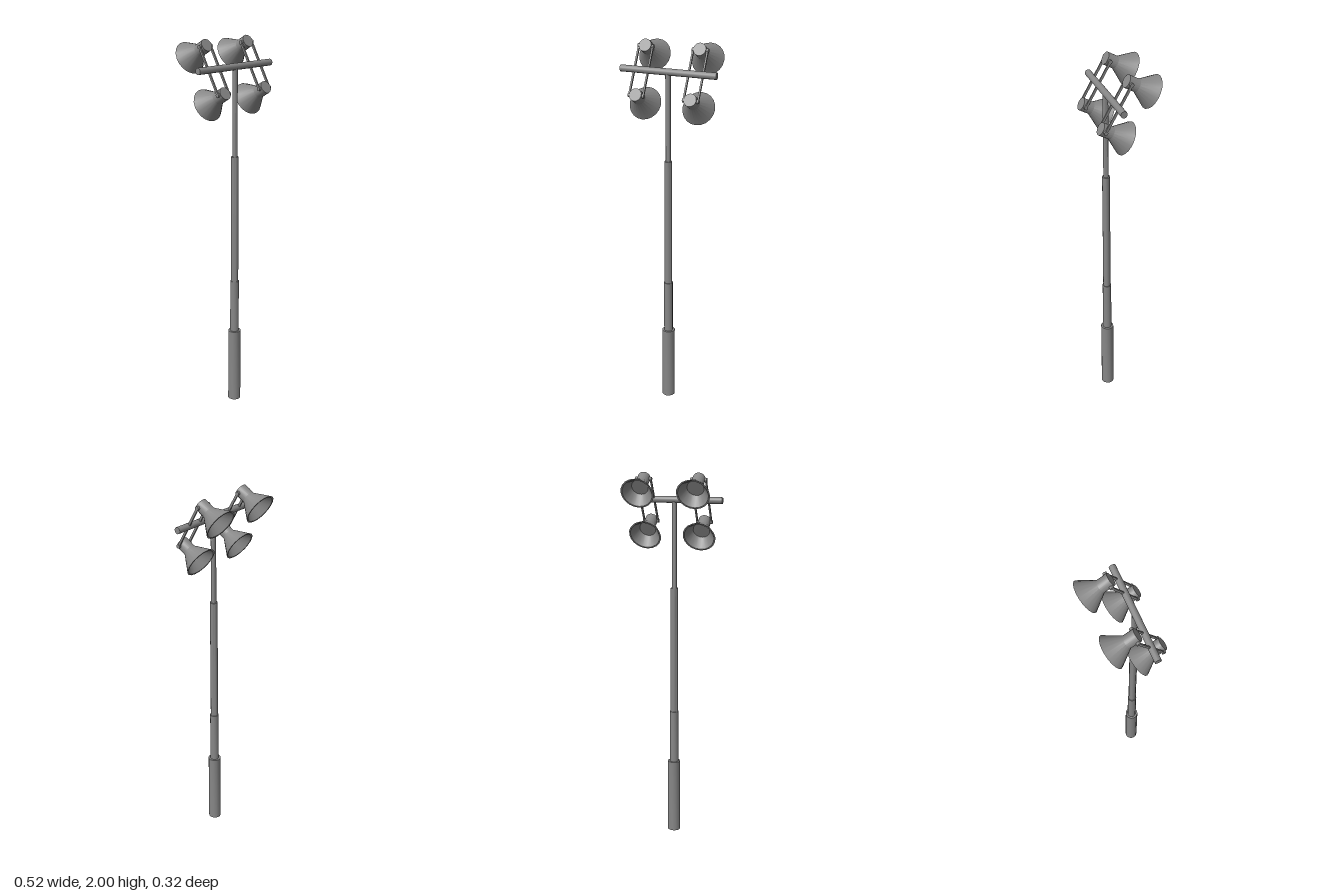
import * as THREE from 'three';
import { toCreasedNormals } from 'three/addons/utils/BufferGeometryUtils.js';

const material = new THREE.MeshStandardMaterial({ color: 0x878787 });
const openMaterial = new THREE.MeshStandardMaterial({ color: 0x878787, side: THREE.DoubleSide });
const POLE_Z = 0.065;

function add(parent, name, geometry, x = 0, y = 0, z = 0, mat = material) {
  const mesh = new THREE.Mesh(geometry, mat);
  mesh.name = name;
  mesh.position.set(x, y, z);
  parent.add(mesh);
  return mesh;
}

function lathe(points, sides) {
  const profile = points.map(([r, y]) => new THREE.Vector2(r, y));
  return toCreasedNormals(new THREE.LatheGeometry(profile, sides), 0.6);
}

// Two lamps joined by a pair of slanted side bars
function createLampPair(x) {
  const pair = new THREE.Group();
  pair.name = 'lampPair';
  pair.position.set(x, 1.8515, 0.0645);
  pair.rotation.x = -Math.PI / 6;
  // Housing and flared shade in one profile, opening along +y
  const lamp = lathe([
    [0, 0], [0.0333, 0], [0.0333, 0.06], [0.087, 0.147],
    [0.079, 0.147], [0.044, 0.09], [0, 0.09],
  ], 20);
  const pin = new THREE.CylinderGeometry(0.0105, 0.0105, 0.087, 12).rotateZ(Math.PI / 2);
  for (const y of [0.1305, -0.1305]) {
    add(pair, 'floodlight', lamp, 0, y, 0.015).rotation.x = -Math.PI / 2;
    add(pair, 'pivotPin', pin, 0, y, 0);
  }
  for (const side of [-1, 1]) {
    add(pair, 'sideBar', new THREE.BoxGeometry(0.008, 0.268, 0.012), side * 0.038, 0, 0);
  }
  return pair;
}

export function createModel() {
  const model = new THREE.Group();
  model.name = 'floodlightMast';

  // Stepped pole, open at the foot
  const pole = lathe([
    [0.035, 0], [0.035, 0.41], [0.024, 0.41], [0.024, 0.7], [0.0205, 0.7],
    [0.0205, 1.39], [0.014, 1.39], [0.014, 1.857], [0, 1.857],
  ], 12);
  add(model, 'pole', pole, 0, 0, POLE_Z, openMaterial);

  // Crossbar
  const bar = new THREE.CylinderGeometry(0.0175, 0.0175, 0.516, 14).rotateZ(Math.PI / 2);
  add(model, 'crossbar', bar, 0, 1.857, POLE_Z);

  // Lamps on both sides
  for (const side of [-1, 1]) model.add(createLampPair(side * 0.1465));
  return model;
}
